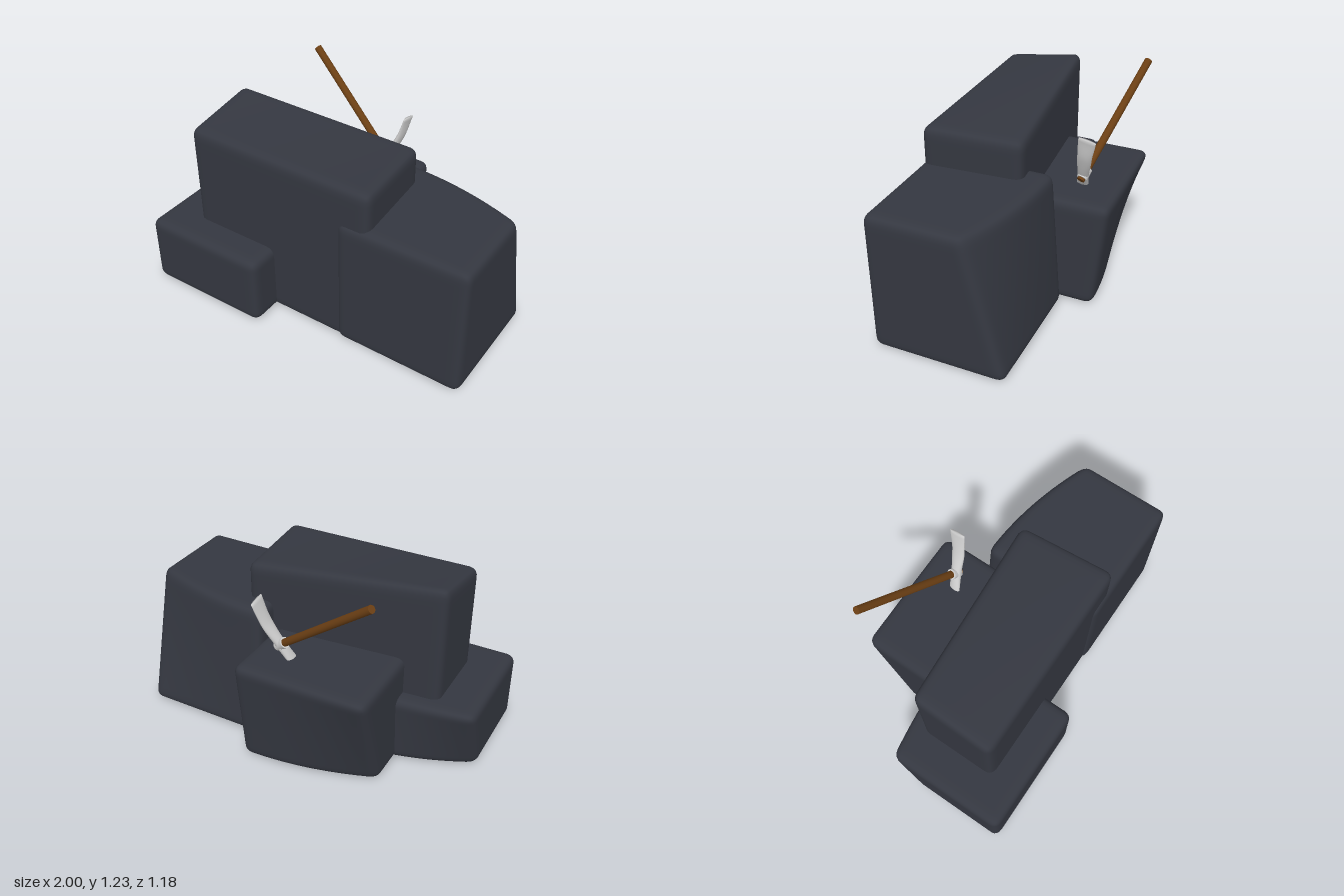
import * as THREE from 'three';
import { mergeVertices } from 'three/addons/utils/BufferGeometryUtils.js';

const rockMat = new THREE.MeshStandardMaterial({ color: 0x343740 });
const woodMat = new THREE.MeshStandardMaterial({ color: 0x6b3f14 });
const steelMat = new THREE.MeshStandardMaterial({ color: 0xcccccc });

const V = (x, y, z) => new THREE.Vector3(x, y, z);
const mix = THREE.MathUtils.lerp;

function addMesh(group, name, geometry, material) {
  const mesh = new THREE.Mesh(geometry, material);
  mesh.name = name;
  group.add(mesh);
  return mesh;
}

// Moves every vertex by a rule, then welds the seams for smooth normals
function reshape(geometry, rule) {
  const pos = geometry.attributes.position;
  const p = V(0, 0, 0);
  for (let i = 0; i < pos.count; i++) {
    p.fromBufferAttribute(pos, i);
    rule(p);
    pos.setXYZ(i, p.x, p.y, p.z);
  }
  geometry.deleteAttribute('normal');
  geometry.deleteAttribute('uv');
  const welded = mergeVertices(geometry, 1e-5);
  welded.computeVertexNormals();
  return welded;
}

// Soft-edged boulder. u runs along x, v runs up, w runs front to back.
// back(u, v) gives the rear face, top(u, w) the height, squeeze pulls in the +x rear.
function rock({ x, front, back, top, squeeze = 0, radius = 0.05 }) {
  const size = V(x[1] - x[0], top(0.5, 0.5), front - back(0.5, 0.5));
  const half = size.clone().multiplyScalar(0.5);
  const inner = half.clone().subScalar(radius);
  const core = V(0, 0, 0);
  return reshape(new THREE.BoxGeometry(2, 2, 2, 24, 24, 24), (p) => {
    // Crowd the grid toward the edges, then round them
    for (const a of ['x', 'y', 'z']) p[a] = Math.sin(p[a] * Math.PI / 2) * half[a];
    core.copy(p).clamp(inner.clone().negate(), inner);
    p.sub(core);
    if (p.lengthSq() > 0) p.setLength(Math.min(radius, p.length() * 10));
    p.add(core);
    const u = p.x / size.x + 0.5, v = p.y / size.y + 0.5, w = 0.5 - p.z / size.z;
    p.set(
      mix(x[0], x[1], u) - squeeze * u * w,
      v * top(u, w),
      mix(front, back(u, v), w)
    );
  });
}

// Tapered, curved blade swept through elliptical sections
function blade(path, widths, depths, across) {
  const curve = new THREE.CatmullRomCurve3(path);
  const sample = (list, t) => {
    const k = Math.min(Math.floor(t * (list.length - 1)), list.length - 2);
    return mix(list[k], list[k + 1], THREE.MathUtils.smoothstep(t * (list.length - 1) - k, 0, 1));
  };
  return reshape(new THREE.CylinderGeometry(1, 1, 1, 20, 24), (p) => {
    const t = THREE.MathUtils.clamp(p.y + 0.5, 0, 1);
    const tangent = curve.getTangent(t);
    const wide = across.clone().addScaledVector(tangent, -across.dot(tangent)).normalize();
    const thick = wide.clone().cross(tangent);
    const { x, z } = p;
    p.copy(curve.getPoint(t))
      .addScaledVector(wide, x * sample(widths, t))
      .addScaledVector(thick, z * sample(depths, t));
  });
}

// Cylinder between two points
function rod(group, name, a, b, radius, material) {
  const dir = b.clone().sub(a);
  const mesh = addMesh(group, name, new THREE.CylinderGeometry(radius, radius, dir.length(), 16), material);
  mesh.position.copy(a).add(b).multiplyScalar(0.5);
  mesh.quaternion.setFromUnitVectors(V(0, 1, 0), dir.normalize());
}

export function createModel() {
  const model = new THREE.Group();
  model.name = 'rocksWithPick';

  // Boulders
  addMesh(model, 'lowFrontRock', rock({
    x: [-1, -0.22], front: 0.59,
    back: (u, v) => -0.195 + mix(0.22, 0.06, v) * (1 - u) ** 2,
    top: () => 0.43,
  }), rockMat);

  addMesh(model, 'tallMiddleRock', rock({
    x: [-0.775, 0.41], front: 0.405,
    back: (u) => mix(-0.07, -0.17, u),
    top: (u, w) => 1.04 + w * mix(0.075, -0.01, u),
    squeeze: 0.04,
  }), rockMat);

  addMesh(model, 'sideRock', rock({
    x: [0.215, 1], front: 0.42,
    back: (u, v) => mix(-0.355, -0.295 + 0.17 * u * u, v),
    top: () => 0.82,
  }), rockMat);

  addMesh(model, 'backRock', rock({
    x: [-0.57, 0.215], front: 0.2,
    back: (u, v) => mix(-0.53 + 0.17 * (1 - u) ** 2, -0.6, v),
    top: () => 0.65,
  }), rockMat);

  // Pick stuck in the back rock
  const pick = new THREE.Group();
  pick.name = 'pick';
  model.add(pick);
  rod(pick, 'handle', V(-0.575, 1.21, -0.545), V(0.055, 0.71, -0.383), 0.022, woodMat);
  rod(pick, 'collar', V(-0.005, 0.758, -0.398), V(0.045, 0.718, -0.386), 0.031, steelMat);
  addMesh(pick, 'head', blade(
    [V(-0.07, 0.58, -0.35), V(0.025, 0.73, -0.387), V(0.1, 0.87, -0.415), V(0.138, 1.005, -0.44)],
    [0.036, 0.032, 0.042, 0.05],
    [0.008, 0.024, 0.017, 0.009],
    V(0, 0.22, 0.97)
  ), steelMat);

  return model;
}
